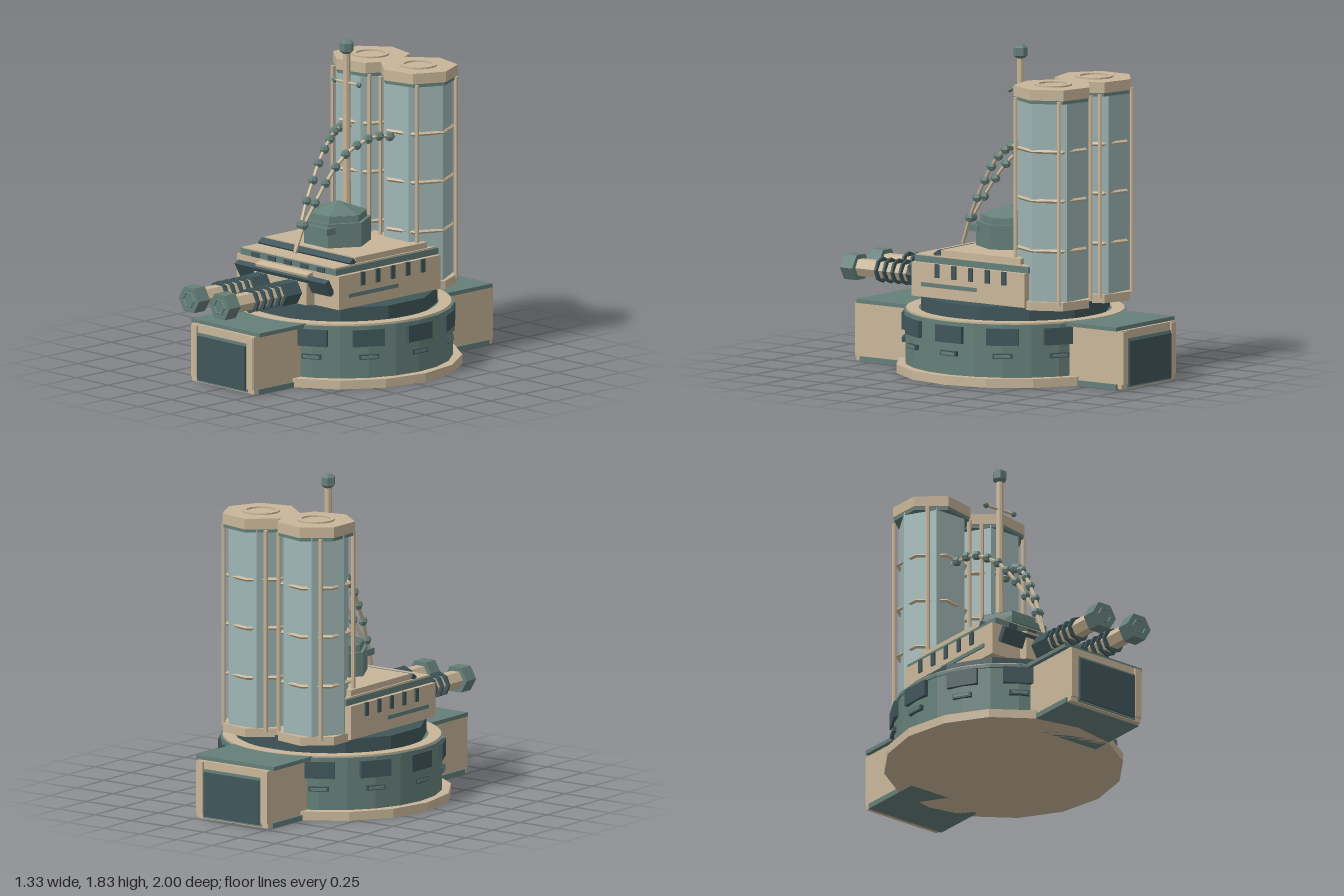
import * as THREE from 'three';

const material = (name, color) => {
  const m = new THREE.MeshStandardMaterial({ color, flatShading: true });
  m.name = name;
  return m;
};

export function createModel() {
  const tan = material('sandstone', 0xc8b699);
  const teal = material('teal', 0x657f79);
  const dark = material('darkTeal', 0x40565a);
  const glass = material('paleGlass', 0x9fb6b5);
  const root = new THREE.Group();
  root.name = 'fortressTurret';
  const CZ = -0.065; // centre of the round base

  const add = (parent, name, geo, mat, x = 0, y = 0, z = 0) => {
    const m = new THREE.Mesh(geo, mat);
    m.name = name;
    m.position.set(x, y, z);
    parent.add(m);
    return m;
  };
  const group = (name, x = 0, y = 0, z = 0, parent = root) => {
    const g = new THREE.Group();
    g.name = name;
    g.position.set(x, y, z);
    parent.add(g);
    return g;
  };
  // box given by its extents
  const box = (p, name, mat, x0, x1, y0, y1, z0, z1) =>
    add(p, name, new THREE.BoxGeometry(x1 - x0, y1 - y0, z1 - z0), mat,
      (x0 + x1) / 2, (y0 + y1) / 2, (z0 + z1) / 2);
  // upright prism from y0 to y1, start = angle of the first corner from +z
  const prism = (p, name, mat, r0, r1, y0, y1, sides, start = 0) =>
    add(p, name, new THREE.CylinderGeometry(r1, r0, y1 - y0, sides, 1, false, start), mat, 0, (y0 + y1) / 2, 0);
  // flat ring lying horizontally
  const ring = (p, name, mat, rOut, rIn, y, h, sides) => {
    const s = new THREE.Shape().absarc(0, 0, rOut, 0, Math.PI * 2);
    s.holes.push(new THREE.Path().absarc(0, 0, rIn, 0, Math.PI * 2, true));
    const geo = new THREE.ExtrudeGeometry(s, { depth: h, bevelEnabled: false, curveSegments: sides });
    return add(p, name, geo.rotateX(-Math.PI / 2), mat, 0, y, 0);
  };
  // rod between two points
  const rod = (p, name, mat, a, b, r) => {
    const d = b.clone().sub(a);
    const m = add(p, name, new THREE.CylinderGeometry(r, r, d.length(), 6), mat);
    m.position.copy(a).addScaledVector(d, 0.5);
    m.quaternion.setFromUnitVectors(new THREE.Vector3(0, 1, 0), d.normalize());
    return m;
  };

  // Round base
  const base = group('base', 0, 0, CZ);
  prism(base, 'plinth', tan, 0.665, 0.665, 0, 0.05, 16);
  prism(base, 'drum', teal, 0.612, 0.612, 0.05, 0.325, 24);
  prism(base, 'drumRim', teal, 0.62, 0.62, 0.325, 0.346, 24);
  ring(base, 'rimCap', tan, 0.605, 0.535, 0.346, 0.01, 24);
  prism(base, 'turretCollar', dark, 0.528, 0.528, 0.34, 0.43, 12, Math.PI / 12);
  for (let i = 0; i < 12; i++) {
    const bay = group('wallBay', 0, 0, 0, base);
    bay.rotation.y = i * Math.PI / 6;
    box(bay, 'wallPanel', dark, -0.09, 0.09, 0.23, 0.325, 0.58, 0.625);
    box(bay, 'wallSlit', dark, -0.055, 0.055, 0.157, 0.185, 0.59, 0.626);
    box(bay, 'slitInset', teal, -0.045, 0.045, 0.163, 0.179, 0.6, 0.63);
  }

  // Gatehouses front and back
  for (const turn of [0, Math.PI]) {
    const gate = group('gatehouse', 0, 0, CZ);
    gate.rotation.y = turn;
    box(gate, 'gateBlock', tan, -0.245, 0.245, 0.005, 0.33, 0.5, 0.915);
    box(gate, 'gateRoof', teal, -0.27, 0.27, 0.33, 0.352, 0.5, 0.895);
    box(gate, 'gateFoot', teal, -0.255, 0.255, 0, 0.03, 0.5, 0.885);
    box(gate, 'doorFrame', teal, -0.2, 0.2, 0.01, 0.285, 0.9, 0.922);
    box(gate, 'door', dark, -0.19, 0.19, 0.02, 0.27, 0.9, 0.933);
    for (const s of [-1, 1])
      box(gate, 'gatePillar', tan, s * 0.222 - 0.022, s * 0.222 + 0.022, 0.03, 0.325, 0.9, 0.926);
  }

  // Turret body
  const body = group('turretBody');
  box(body, 'hull', tan, -0.405, 0.405, 0.43, 0.62, -0.43, 0.35);
  box(body, 'roofBand', teal, -0.38, 0.38, 0.62, 0.655, -0.44, 0.348);
  box(body, 'roofDeck', tan, -0.37, 0.37, 0.655, 0.662, -0.43, 0.345);
  box(body, 'roofPlate', tan, -0.36, 0.36, 0.66, 0.695, -0.37, 0.18);
  const lip = box(body, 'roofLip', dark, -0.365, 0.365, 0.655, 0.685, 0.185, 0.225);
  lip.rotation.x = 0.6;
  for (let i = -2; i <= 2; i++)
    box(body, 'frontSlot', dark, i * 0.13 - 0.03, i * 0.13 + 0.03, 0.622, 0.648, 0.34, 0.355);
  const visor = box(body, 'visor', dark, -0.36, 0.36, 0.505, 0.595, 0.36, 0.395);
  visor.rotation.x = 0.5;
  const brow = box(body, 'visorBrow', tan, -0.205, 0.205, 0.573, 0.61, 0.355, 0.4);
  brow.rotation.x = 0.3;
  box(body, 'gunMount', tan, -0.21, 0.21, 0.435, 0.56, 0.34, 0.41);
  for (const s of [-1, 1]) {
    for (let i = 0; i < 5; i++)
      box(body, 'sideWindow', dark, s * 0.406 - 0.008, s * 0.406 + 0.008, 0.545, 0.62,
        0.155 - i * 0.115, 0.185 - i * 0.115);
    box(body, 'sideRail', teal, s * 0.406 - 0.007, s * 0.406 + 0.007, 0.49, 0.512, -0.1, 0.28);
  }

  // Command dome with its mast
  const dome = group('commandDome', 0, 0, -0.03);
  prism(dome, 'domeWall', teal, 0.19, 0.19, 0.69, 0.83, 6, Math.PI / 2);
  prism(dome, 'domeShoulder', teal, 0.168, 0.165, 0.83, 0.87, 6, Math.PI / 2);
  prism(dome, 'domeCap', teal, 0.168, 0.01, 0.868, 0.925, 6, Math.PI / 2);
  box(dome, 'sensorBar', teal, -0.12, 0.12, 0.775, 0.812, 0.13, 0.195);
  const mast = group('mast', 0, 0, -0.1);
  prism(mast, 'mastPole', tan, 0.024, 0.02, 0.7, 1.76, 8);
  prism(mast, 'mastTip', teal, 0.04, 0.04, 1.765, 1.81, 6, Math.PI / 2);
  prism(mast, 'mastTipTop', teal, 0.04, 0.02, 1.81, 1.826, 6, Math.PI / 2);
  prism(mast, 'mastTipBottom', teal, 0.02, 0.04, 1.748, 1.765, 6, Math.PI / 2);
  rod(mast, 'crossbar', tan, new THREE.Vector3(-0.1, 1.585, 0), new THREE.Vector3(0.1, 1.585, 0), 0.008);
  for (const s of [-1, 1])
    add(mast, 'crossbarKnob', new THREE.IcosahedronGeometry(0.018, 0), teal, s * 0.097, 1.585, 0);

  // Beaded cables from the roof up to the silos: x, y, z of each bead
  const beads = [[0.012, 0.83, 0.24], [0.034, 0.95, 0.175], [0.05, 1.055, 0.11], [0.068, 1.14, 0.05],
    [0.084, 1.205, -0.01], [0.108, 1.25, -0.075], [0.135, 1.28, -0.135], [0.155, 1.29, -0.2], [0.172, 1.28, -0.265]];
  for (const s of [-1, 1]) {
    const cable = group('beadedCable');
    let last = new THREE.Vector3(0, 0.68, 0.298);
    for (const [x, y, z] of beads) {
      const p = new THREE.Vector3(s * x, y, z);
      rod(cable, 'cableLink', tan, last, p, 0.011);
      add(cable, 'cableBead', new THREE.SphereGeometry(0.028, 6, 4), teal, p.x, p.y, p.z);
      last = p;
    }
    rod(cable, 'cableEnd', tan, last, new THREE.Vector3(s * 0.178, 1.28, -0.31), 0.011);
  }

  // Twin silos
  for (const s of [-1, 1]) {
    const silo = group('silo', s * 0.19, 0, -0.467);
    const q = Math.PI / 2;
    prism(silo, 'siloGlass', glass, 0.196, 0.196, 0.45, 1.59, 6, q);
    prism(silo, 'siloFoot', tan, 0.217, 0.217, 0.42, 0.468, 7, q);
    prism(silo, 'capTrim', teal, 0.213, 0.213, 1.575, 1.595, 7, q);
    prism(silo, 'siloCap', tan, 0.22, 0.22, 1.595, 1.655, 7, q);
    ring(silo, 'hatchRing', tan, 0.105, 0.08, 1.655, 0.009, 10);
    for (const y of [0.75, 1.03, 1.305]) {
      const hoop = add(silo, 'siloHoop', new THREE.TorusGeometry(0.192, 0.011, 4, 7), tan, 0, y, 0);
      hoop.rotation.x = -q;
    }
    for (const dx of [-1, 1]) for (const dz of [-1, 1]) {
      const strut = group('siloStrut', dx * 0.146, 0, dz * 0.15, silo);
      prism(strut, 'strutBar', tan, 0.012, 0.012, 0.45, 1.59, 6);
    }
  }

  // Twin guns pointing forward
  const gunPart = (p, name, mat, r, z0, z1, sides = 6) => {
    const geo = new THREE.CylinderGeometry(r, r, z1 - z0, sides, 1, false, Math.PI / 2);
    return add(p, name, geo.rotateX(Math.PI / 2), mat, 0, 0, (z0 + z1) / 2);
  };
  for (const s of [-1, 1]) {
    const gun = group('gun', s * 0.122, 0.505, 0);
    gunPart(gun, 'barrel', tan, 0.053, 0.38, 0.93);
    gunPart(gun, 'breech', dark, 0.072, 0.43, 0.55);
    for (let i = 0; i < 4; i++) {
      const z = 0.592 + i * 0.056;
      gunPart(gun, 'barrelCoil', dark, 0.072, z - 0.007, z + 0.007, 8);
    }
    gunPart(gun, 'muzzle', teal, 0.08, 0.91, 0.995);
    const bore = new THREE.TorusGeometry(0.042, 0.005, 4, 6);
    add(gun, 'muzzleRim', bore, teal, 0, 0, 0.995);
  }
  return root;
}
